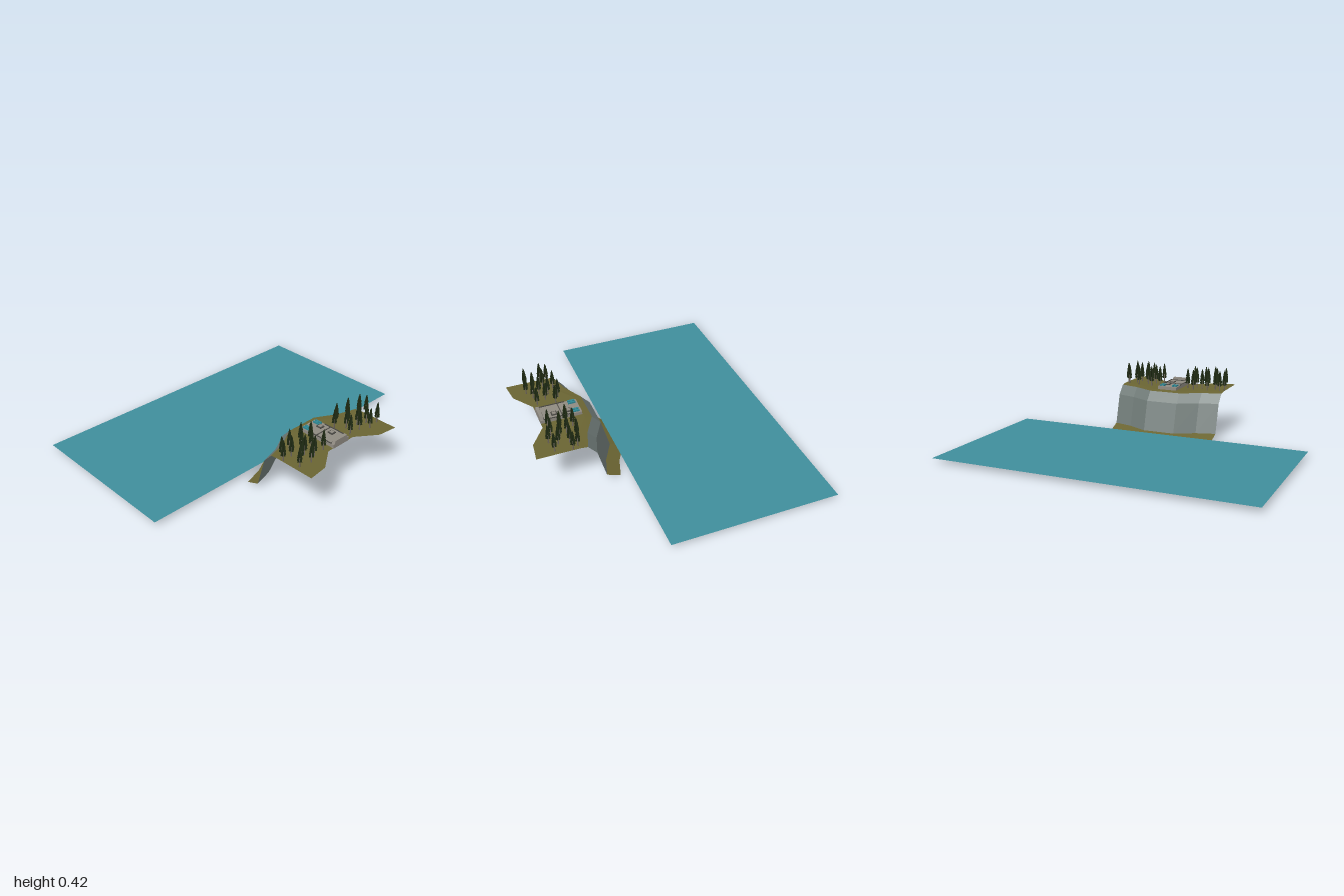
import * as THREE from 'three';

const material = (name, color, side = THREE.FrontSide) => {
  const m = new THREE.MeshStandardMaterial({ color, side });
  m.name = name;
  return m;
};

export function createModel() {
  const model = new THREE.Group();
  model.name = 'coastalCliff';

  const water = material('sea teal', 0x3f8e9b, THREE.DoubleSide);
  const grass = material('olive ground', 0x6a6432, THREE.DoubleSide);
  const rock = material('cliff gray', 0x6f7a77, THREE.DoubleSide);
  const leaf = material('pine green', 0x1f2b13, THREE.DoubleSide);
  const bark = material('bark gray', 0x6f675e);
  const concrete = material('concrete', 0x8f8a81);
  const dark = material('dark concrete', 0x494843);
  const teal = material('bright teal', 0x2f8794);
  grass.flatShading = rock.flatShading = true;

  const add = (parent, name, geometry, mat, x = 0, y = 0, z = 0) => {
    const mesh = new THREE.Mesh(geometry, mat);
    mesh.name = name;
    mesh.position.set(x, y, z);
    parent.add(mesh);
    return mesh;
  };
  const box = (parent, name, mat, x0, x1, y0, y1, z0, z1) =>
    add(parent, name, new THREE.BoxGeometry(x1 - x0, y1 - y0, z1 - z0), mat,
      (x0 + x1) / 2, (y0 + y1) / 2, (z0 + z1) / 2);

  // Sea surface
  const sea = new THREE.PlaneGeometry(1.04, 2).rotateX(-Math.PI / 2);
  add(model, 'sea', sea, water, -0.28, 0.028, 0);

  // Land: one profile swept along z, shifted inland towards both ends
  const profile = [[0.187, 0], [0.272, 0.033], [0.325, 0.223], [0.378, 0.282], [0.42, 0.287], [0.68, 0.287]];
  const sections = [[-0.36, 0.107], [-0.235, 0.07 + 0.022], [-0.105, 0], [0.105, 0], [0.235, 0.07 + 0.022], [0.36, 0.107]];
  // The seaward lines bend a little less than the inland edge
  const point = (s, j) => {
    const middle = s === 1 || s === 4;
    const shift = middle && j < 4 ? 0.07 : sections[s][1];
    return [profile[j][0] + shift, profile[j][1], sections[s][0]];
  };
  const strip = (name, first, last, mat) => {
    const pos = [];
    for (let s = 0; s < sections.length - 1; s++) {
      for (let j = first; j < last; j++) {
        const a = point(s, j), b = point(s + 1, j), c = point(s + 1, j + 1), d = point(s, j + 1);
        pos.push(...a, ...b, ...c, ...a, ...c, ...d);
      }
    }
    const g = new THREE.BufferGeometry();
    g.setAttribute('position', new THREE.Float32BufferAttribute(pos, 3));
    g.computeVertexNormals();
    add(model, name, g, mat);
  };
  strip('beach', 0, 1, grass);
  strip('cliffFace', 1, 3, rock);
  strip('plateau', 3, 5, grass);

  // Pine crown: tiered silhouette on crossed thin planes
  const half = [[0.006, 0.032], [0.016, 0.036], [0.013, 0.052], [0.0165, 0.056], [0.011, 0.08],
    [0.013, 0.084], [0.007, 0.108], [0.008, 0.112]];
  const outline = new THREE.Shape();
  outline.moveTo(0, 0.03);
  half.forEach(([x, y]) => outline.lineTo(x, y));
  outline.lineTo(0, 0.138);
  [...half].reverse().forEach(([x, y]) => outline.lineTo(-x, y));
  const crown = new THREE.ShapeGeometry(outline);
  const trunk = new THREE.CylinderGeometry(0.003, 0.0045, 0.06, 6);

  // Two mirrored groves
  const spots = [[0.57, 0.352], [0.535, 0.33], [0.672, 0.33], [0.57, 0.288], [0.635, 0.278], [0.515, 0.248],
    [0.61, 0.225], [0.56, 0.198], [0.655, 0.193], [0.51, 0.152], [0.59, 0.15], [0.65, 0.115], [0.54, 0.102], [0.685, 0.25]];
  for (const side of [-1, 1]) {
    const grove = new THREE.Group();
    grove.name = side < 0 ? 'backGrove' : 'frontGrove';
    model.add(grove);
    spots.forEach(([x, z], i) => {
      const tree = new THREE.Group();
      tree.name = 'pineTree';
      tree.position.set(x, 0.287, z * side);
      add(tree, 'trunk', trunk, bark, 0, 0.03, 0);
      for (let k = 0; k < 3; k++) {
        add(tree, 'crown', crown, leaf).rotation.y = (k * Math.PI) / 3 + (i % 3) * 0.15;
      }
      grove.add(tree);
    });
  }

  // Concrete terrace with a low wall and a sloped block behind
  const house = new THREE.Group();
  house.name = 'clifftopBuilding';
  model.add(house);
  box(house, 'terrace', concrete, 0.425, 0.68, 0.283, 0.308, -0.068, 0.063);
  const end = new THREE.Shape([[-0.066, 0.287], [0.066, 0.287], [0.048, 0.328], [-0.048, 0.328]]
    .map(([x, y]) => new THREE.Vector2(x, y)));
  const block = new THREE.ExtrudeGeometry(end, { depth: 0.02, bevelEnabled: false }).rotateY(Math.PI / 2);
  add(house, 'rearWall', block, concrete, 0.66, 0, -0.002);
  box(house, 'wallShadowGap', dark, 0.655, 0.66, 0.305, 0.312, -0.066, 0.061);
  box(house, 'dividingJoint', dark, 0.542, 0.547, 0.305, 0.311, -0.066, 0.061);
  for (const z of [-0.067, 0.058]) box(house, 'parapet', dark, 0.5, 0.66, 0.305, 0.313, z, z + 0.004);

  // Square roof hatches with dark frames
  for (const x of [0.499, 0.587]) {
    box(house, 'hatchFrame', dark, x - 0.018, x + 0.018, 0.306, 0.313, -0.044, -0.01);
    box(house, 'hatchLid', concrete, x - 0.011, x + 0.011, 0.307, 0.316, -0.037, -0.017);
  }

  // Teal furniture on the terrace
  for (const z of [-0.045, 0.04]) {
    for (const dz of [-0.014, 0.006]) box(house, 'bench', teal, 0.437, 0.482, 0.306, 0.318, z + dz, z + dz + 0.009);
    box(house, 'table', teal, 0.452, 0.464, 0.306, 0.318, z - 0.014, z + 0.015);
  }
  return model;
}
